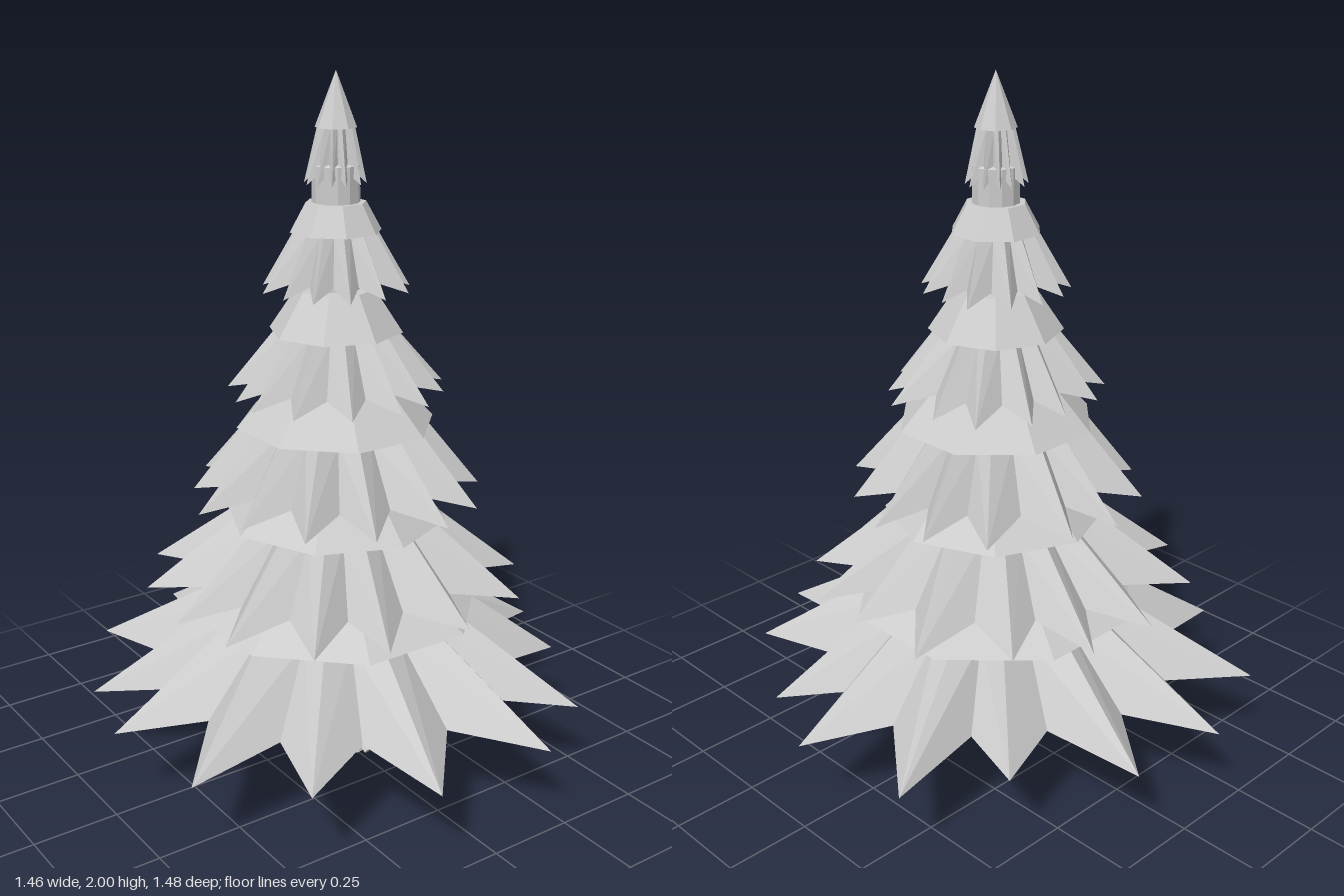
import * as THREE from 'three';

const grey = new THREE.MeshStandardMaterial({ color: 0xcccccc });
grey.name = 'light grey';

// Small seeded generator for the uneven branch tips
let seed = 7;
const rand = () => ((seed = (seed * 16807) % 2147483647) / 2147483647) * 2 - 1;

const polar = (r, y, a) => [r * Math.cos(a), y, r * Math.sin(a)];

function addMesh(parent, geometry, name) {
  const g = geometry.index ? geometry.toNonIndexed() : geometry;
  g.computeVertexNormals();
  const mesh = new THREE.Mesh(g, grey);
  mesh.name = name;
  parent.add(mesh);
  return mesh;
}

// Star-shaped skirt, pleated from the cap to the tips, with a hollow conical underside
function fringeGeometry(tips, topR, topY, tipY, hollow, valley) {
  const top = [], rim = [];
  tips.forEach(([a, r], i) => {
    const [b, s] = tips[(i + 1) % tips.length];
    const gap = (b - a + Math.PI * 4) % (Math.PI * 2);
    const mid = a + gap / 2;
    top.push(polar(topR, topY, a), polar(topR * 0.78, topY, mid));
    rim.push(polar(r, tipY, a),
      polar((r + s) / 2 * valley, tipY + hollow * (1 - valley), mid));
  });
  const pos = [], centre = [0, tipY + hollow, 0], n = rim.length;
  for (let i = 0; i < n; i++) {
    const j = (i + 1) % n;
    // the diagonal mirrors on either side of each ridge
    if (i % 2) pos.push(...top[i], ...top[j], ...rim[j], ...top[i], ...rim[j], ...rim[i]);
    else pos.push(...top[i], ...top[j], ...rim[i], ...top[j], ...rim[j], ...rim[i]);
    pos.push(...centre, ...rim[i], ...rim[j]);
  }
  const g = new THREE.BufferGeometry();
  g.setAttribute('position', new THREE.Float32BufferAttribute(pos, 3));
  return g;
}

const toPolar = (list) => list.map(([x, z]) => [Math.atan2(z, x), Math.hypot(x, z)]);
const unevenTips = (n, r, turn) => Array.from({ length: n }, (_, i) =>
  [turn + (i + 0.15 * rand()) * Math.PI * 2 / n, r * (1 + 0.05 * rand())]);

export function createModel() {
  seed = 7;
  const tree = new THREE.Group();
  tree.name = 'tree';

  // Trunk with flared foot
  const profile = [[0, 0], [0.122, 0], [0.118, 0.012], [0.092, 0.06], [0.08, 0.08],
    [0.078, 0.4], [0.066, 1.75], [0, 1.78]].map(([r, y]) => new THREE.Vector2(r, y));
  addMesh(tree, new THREE.LatheGeometry(profile, 12), 'trunk');

  // Roots: wedges reaching out on four sides of the foot
  const roots = new THREE.Group();
  roots.name = 'roots';
  for (let i = 0; i < 4; i++) {
    const pivot = new THREE.Group();
    pivot.rotation.y = i * Math.PI / 2 + 0.06;
    const root = addMesh(pivot, new THREE.CylinderGeometry(0.009, 0.023, 0.1, 6), 'root');
    root.position.set(0.11, 0.042, 0);
    root.rotation.z = -2.15;
    roots.add(pivot);
  }
  tree.add(roots);

  const lowTips = toPolar([[0.725, 0.04], [0.625, 0.28], [0.43, 0.6], [0.2, 0.735],
    [-0.18, 0.735], [-0.46, 0.55], [-0.69, 0.33], [-0.73, -0.03], [-0.67, -0.28],
    [-0.46, -0.62], [-0.15, -0.74], [0.16, -0.71], [0.42, -0.48], [0.68, -0.33]]);
  const secondTips = toPolar([[0.51, 0.05], [0.5, 0.23], [0.35, 0.42], [0.1, 0.5],
    [-0.16, 0.48], [-0.35, 0.4], [-0.5, 0.2], [-0.54, 0], [-0.49, -0.26],
    [-0.35, -0.46], [-0.07, -0.55], [0.15, -0.53], [0.33, -0.4], [0.51, -0.21]]);

  // Tiers, bottom to top; cap = [edge radius, edge y, top radius, top y]
  const tiers = [
    { tips: lowTips, tipY: 0.235, hollow: 0.095, valley: 0.69, cap: [0.43, 0.46, 0.27, 0.58] },
    { tips: secondTips, tipY: 0.53, hollow: 0.11, valley: 0.7, cap: [0.325, 0.74, 0.2, 0.87] },
    { tips: unevenTips(14, 0.43, 0.1), tipY: 0.82, hollow: 0.11, valley: 0.7, cap: [0.287, 1.02, 0.17, 1.15] },
    { tips: unevenTips(14, 0.31, 0.25), tipY: 1.115, hollow: 0.1, valley: 0.7, cap: [0.19, 1.29, 0.11, 1.41] },
    { tips: unevenTips(13, 0.21, 0), tipY: 1.41, hollow: 0.09, valley: 0.68, cap: [0.129, 1.57, 0.085, 1.65] },
    { tips: unevenTips(12, 0.085, 0.2), tipY: 1.7, hollow: 0.09, valley: 0.66, cap: [0.058, 1.85, 0, 2] },
  ];
  tiers.forEach(({ tips, tipY, hollow, valley, cap: [r, y, topR, topY] }, i) => {
    const tier = new THREE.Group();
    tier.name = `branchTier${i + 1}`;
    addMesh(tier, fringeGeometry(tips, r * 0.9, y, tipY, hollow, valley), 'fringe');
    const cap = addMesh(tier, new THREE.CylinderGeometry(topR, r, topY - y, 8), 'cap');
    cap.position.y = (y + topY) / 2;
    cap.rotation.y = i % 2 ? 0 : Math.PI / 8;
    tree.add(tier);
  });
  return tree;
}
